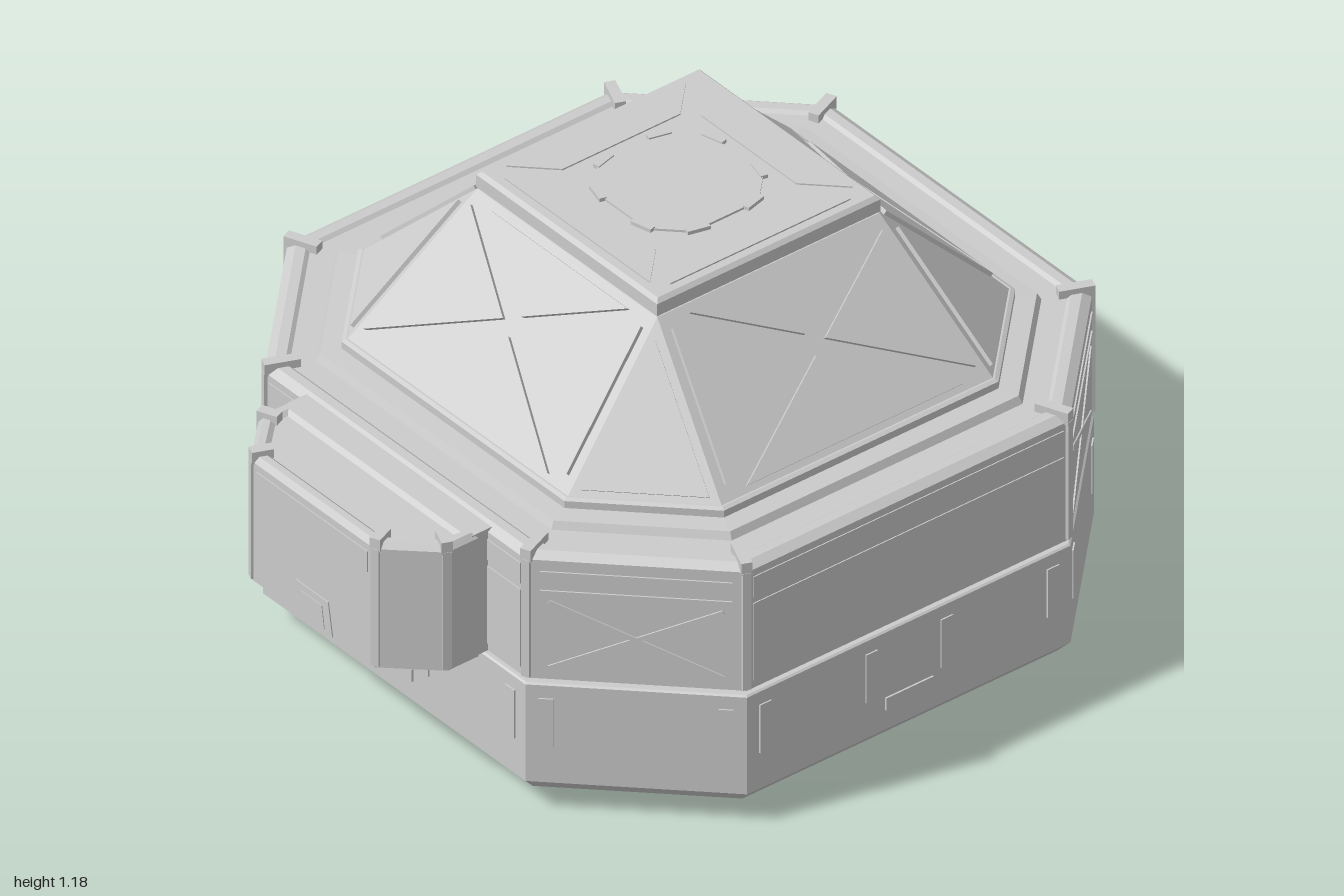
import * as THREE from 'three';

const grey = new THREE.MeshStandardMaterial({ color: 0xcccccc, flatShading: true });

// Octagon outline at half-width h (c = half length of the main sides), counter-clockwise from above
const oct = (h, y, c = 0.495 - (0.87 - h) * 0.414) =>
  [[-c, h], [c, h], [h, c], [h, -c], [c, -h], [-c, -h], [-h, -c], [-h, c]].map(([x, z]) => new THREE.Vector3(x, y, z));

// Porch outline, inset by d
const porchRing = (d, y) => {
  const k = d * 0.414;
  return [[-0.235 + k, 1.12 - d], [0.235 - k, 1.12 - d], [0.355 - d, 0.995 - k],
    [0.355 - d, 0.9 + d], [-0.355 + d, 0.9 + d], [-0.355 + d, 0.995 - k]].map(([x, z]) => new THREE.Vector3(x, y, z));
};

// Flat-faced solid through a stack of equal-length outlines, closed at both ends
function loft(rings) {
  const pos = [];
  const tri = (...vs) => vs.forEach(v => pos.push(v.x, v.y, v.z));
  const n = rings[0].length;
  for (let r = 0; r < rings.length - 1; r++) {
    const a = rings[r], b = rings[r + 1];
    for (let i = 0; i < n; i++) {
      const j = (i + 1) % n;
      tri(a[i], a[j], b[j]);
      tri(a[i], b[j], b[i]);
    }
  }
  const lo = rings[0], hi = rings[rings.length - 1];
  for (let i = 1; i < n - 1; i++) {
    tri(lo[0], lo[i + 1], lo[i]);
    tri(hi[0], hi[i], hi[i + 1]);
  }
  const g = new THREE.BufferGeometry();
  g.setAttribute('position', new THREE.Float32BufferAttribute(pos, 3));
  g.computeVertexNormals();
  return g;
}

// Raised plate on a planar outline (counter-clockwise from outside)
function plateGeometry(pts, thick) {
  const n = new THREE.Vector3().crossVectors(
    pts[1].clone().sub(pts[0]), pts[2].clone().sub(pts[0])).normalize();
  return loft([pts.map(p => p.clone().addScaledVector(n, -0.004)), pts.map(p => p.clone().addScaledVector(n, thick))]);
}

// Shrink a triangle so each edge moves inward by d
function insetTriangle([a, b, c], d) {
  const la = b.distanceTo(c), lb = c.distanceTo(a), lc = a.distanceTo(b), per = la + lb + lc;
  const centre = new THREE.Vector3().addScaledVector(a, la / per).addScaledVector(b, lb / per).addScaledVector(c, lc / per);
  const area = b.clone().sub(a).cross(c.clone().sub(a)).length() / 2;
  const s = d / (2 * area / per);
  return [a, b, c].map(p => p.clone().lerp(centre, s));
}

function add(parent, name, geometry) {
  const m = new THREE.Mesh(geometry, grey);
  m.name = name;
  parent.add(m);
  return m;
}

function box(parent, name, w, h, d, x, y, z) {
  const m = add(parent, name, new THREE.BoxGeometry(w, h, d));
  m.position.set(x, y, z);
  return m;
}

// Radial rib on the rim plus a thin strip down the wall edge, at outline vertex v
function edgeRib(parent, v, inner, length) {
  const g = new THREE.Group();
  g.name = 'edgeRib';
  g.position.set(v.x, 0, v.z);
  g.rotation.y = Math.atan2(v.x - inner.x, v.z - inner.z);
  box(g, 'rimRib', 0.028, 0.035, length, 0, 0.7475, -length / 2);
  box(g, 'edgeStrip', 0.022, 0.34, 0.02, 0, 0.565, -0.009);
  parent.add(g);
}

export function createModel() {
  const root = new THREE.Group();
  root.name = 'domeBuilding';
  const body = new THREE.Group();
  body.name = 'body';
  body.position.z = -0.125;
  root.add(body);

  // Main octagonal layers
  add(body, 'base', loft([oct(0.79, 0.04), oct(0.835, 0.052), oct(0.87, 0.09), oct(0.87, 0.372), oct(0.865, 0.376)]));
  add(body, 'shadowGap', loft([oct(0.68, 0.37), oct(0.68, 0.4)]));
  add(body, 'upperWall', loft([oct(0.867, 0.39), oct(0.867, 0.735), oct(0.845, 0.75), oct(0.82, 0.75),
    oct(0.81, 0.742), oct(0.75, 0.742), oct(0.74, 0.762), oct(0.69, 0.765)]));
  add(body, 'roofSkirt', loft([oct(0.69, 0.76), oct(0.69, 0.785), oct(0.68, 0.79)]));
  add(body, 'roof', loft([oct(0.68, 0.785), oct(0.34, 1.12, 0.34)]));
  add(body, 'roofCap', loft([oct(0.325, 1.11, 0.325), oct(0.342, 1.125, 0.342), oct(0.342, 1.16, 0.342), oct(0.332, 1.17, 0.332)]));
  add(body, 'hatch', loft([oct(0.18, 1.165, 0.1), oct(0.18, 1.176, 0.1)]));
  add(body, 'foot', loft([oct(0.26, 0.01, 0.13), oct(0.33, 0.042, 0.165)]));

  // Ribs at the eight wall edges
  const outer = oct(0.87, 0), innerRing = oct(0.79, 0);
  outer.forEach((v, i) => edgeRib(body, v, innerRing[i], 0.09));

  const V = (x, y, z) => new THREE.Vector3(x, y, z);
  for (let i = 0; i < 4; i++) {
    // Main side
    const side = new THREE.Group();
    side.name = 'mainSide';
    side.rotation.y = i * Math.PI / 2;
    body.add(side);

    // Four triangular plates forming a cross on the roof
    const A = V(-0.415, 0.785, 0.68), B = V(0.415, 0.785, 0.68), C = V(0.34, 1.12, 0.34), D = V(-0.34, 1.12, 0.34);
    const O = A.clone().lerp(C, 0.415 / 0.755);
    [[A, B, O], [B, C, O], [C, D, O], [D, A, O]].forEach(t =>
      add(side, 'roofPlate', plateGeometry(insetTriangle(t, 0.024), 0.011)));

    // Plate on the roof cap and hatch clips
    add(side, 'capPlate', plateGeometry([V(-0.275, 1.17, 0.31), V(0.275, 1.17, 0.31), V(0.18, 1.17, 0.215), V(-0.18, 1.17, 0.215)], 0.004));
    for (const s of [-1, 1]) {
      const clip = box(side, 'hatchClip', 0.06, 0.014, 0.018, s * 0.085, 1.173, 0.178);
      clip.rotation.y = s * 0.25;
    }

    // Upper wall panels
    box(side, 'wallPanel', 0.95, 0.225, 0.01, 0, 0.525, 0.865);
    box(side, 'wallStrip', 0.95, 0.06, 0.01, 0, 0.685, 0.865);

    // Base clips, handle and underside vent
    for (const x of [-0.44, -0.115, 0.115, 0.44]) box(side, 'baseClip', 0.036, 0.14, 0.01, x, 0.265, 0.869);
    box(side, 'baseHandle', 0.145, 0.036, 0.012, 0, 0.165, 0.869);
    for (let k = -2; k <= 2; k++) box(side, 'footVent', 0.014, 0.04, 0.075, k * 0.028, 0.02, 0.285);

    // Corner side
    const corner = new THREE.Group();
    corner.name = 'cornerSide';
    corner.rotation.y = (i + 0.5) * Math.PI / 2;
    body.add(corner);
    const d = (0.87 + 0.495) / Math.SQRT2;
    for (const s of [-1, 1]) {
      box(corner, 'baseClip', 0.036, 0.14, 0.008, s * 0.215, 0.265, d);
      const brace = box(corner, 'crossBrace', 0.46, 0.012, 0.008, 0, 0.52, d - 0.003);
      brace.rotation.z = s * 0.43;
    }
    for (const y of [0.645, 0.7]) box(corner, 'wallSeam', 0.46, 0.008, 0.008, 0, y, d - 0.003);

    // Single triangular roof plate on the corner facet
    const w = 0.265 / Math.SQRT2;
    const r = (0.68 + 0.415) / Math.SQRT2;
    add(corner, 'cornerRoofPlate', plateGeometry(insetTriangle(
      [V(-w, 0.785, r), V(w, 0.785, r), V(0, 1.12, 0.34 * Math.SQRT2)], 0.022), 0.011));
  }

  // Front porch
  const porch = new THREE.Group();
  porch.name = 'porch';
  body.add(porch);
  add(porch, 'porchWall', loft([porchRing(0, 0.39), porchRing(0, 0.735), porchRing(0.012, 0.75),
    porchRing(0.03, 0.75), porchRing(0.042, 0.74)]));
  box(porch, 'porchNeck', 0.7, 0.355, 0.06, 0, 0.5675, 0.885);
  const pOut = porchRing(0, 0), pIn = porchRing(0.05, 0);
  for (const k of [0, 1, 2, 5]) edgeRib(porch, pOut[k], pIn[k], 0.055);
  box(porch, 'porchStrip', 0.42, 0.06, 0.006, 0, 0.685, 1.12);

  // Small hatch door low on the porch
  add(porch, 'doorFrame', plateGeometry([V(-0.078, 0.392, 1.12), V(0.078, 0.392, 1.12), V(0.062, 0.485, 1.12), V(-0.062, 0.485, 1.12)], 0.003));
  add(porch, 'door', plateGeometry([V(-0.05, 0.4, 1.123), V(0.05, 0.4, 1.123), V(0.04, 0.465, 1.123), V(-0.04, 0.465, 1.123)], 0.002));

  return root;
}
